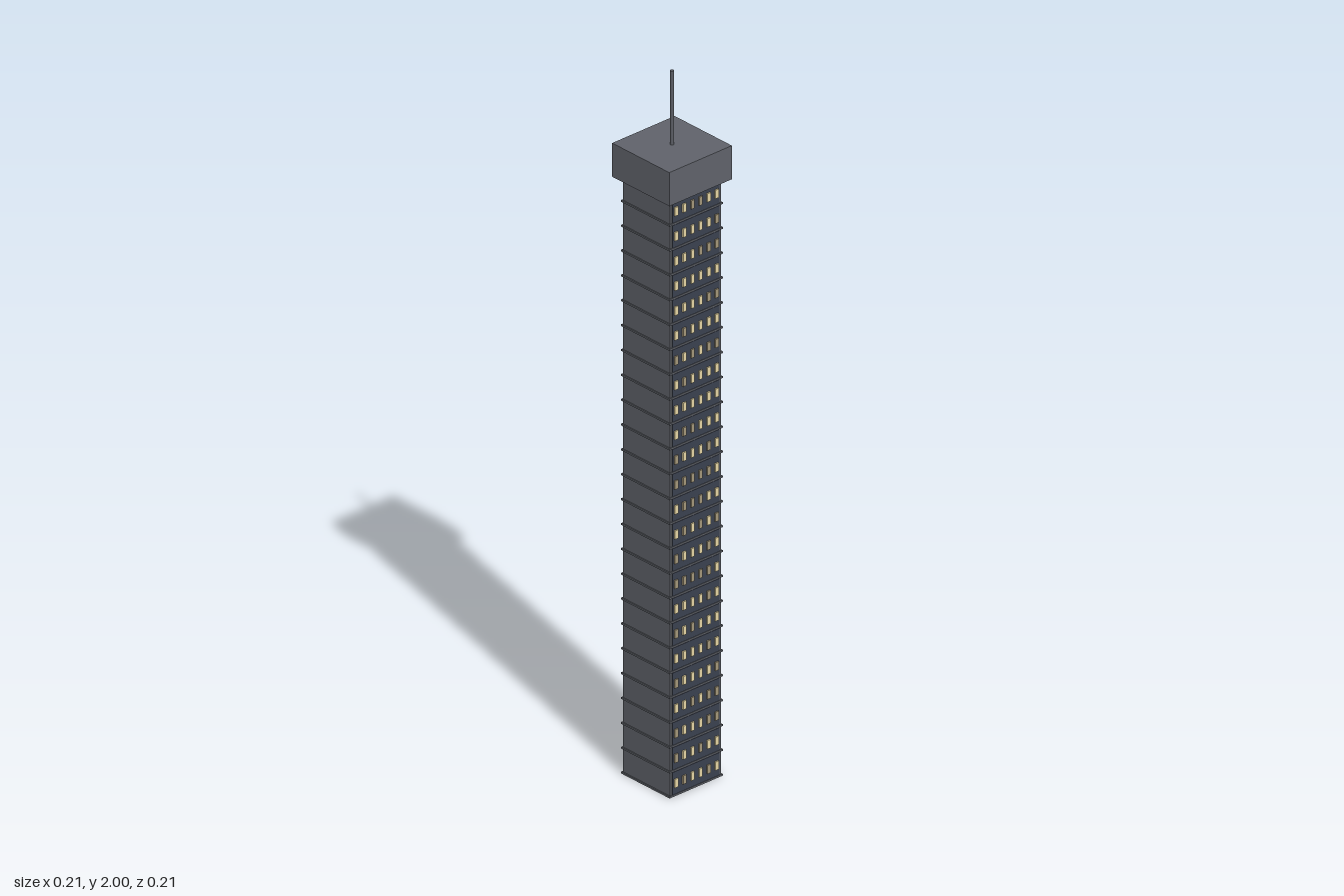
import * as THREE from 'three';
import { mergeGeometries } from 'three/addons/utils/BufferGeometryUtils.js';

const FLOORS = 24, FLOOR_H = 0.0706, COLUMNS = 6, PITCH = 0.0275;
const TOP = FLOORS * FLOOR_H, CAP_TOP = 1.79;

const box = (w, h, d, x, y, z) => new THREE.BoxGeometry(w, h, d).translate(x, y, z);

export function createModel() {
  const tower = new THREE.Group();
  tower.name = 'tower';
  const add = (name, geometry, color) => {
    const mesh = new THREE.Mesh(geometry, new THREE.MeshStandardMaterial({ color }));
    mesh.name = name;
    tower.add(mesh);
  };

  // Seeded variation for which windows are lit
  let seed = 7;
  const random = () => (seed = (seed * 16807) % 2147483647) / 2147483647;

  const slabs = [], panels = [], lit = [], dim = [];
  for (let f = 0; f < FLOORS; f++) {
    const base = f * FLOOR_H, mid = base + FLOOR_H / 2;
    // Thin floor slab wrapping the shaft
    slabs.push(box(0.18, 0.005, 0.18, 0, base + 0.0025, 0));
    for (const side of [1, -1]) {
      // Dark glazing band and its row of windows, front and back
      panels.push(box(0.158, FLOOR_H - 0.007, 0.01, 0, mid + 0.002, side * 0.084));
      for (let c = 0; c < COLUMNS; c++) {
        const x = (c - (COLUMNS - 1) / 2) * PITCH;
        (random() < 0.7 ? lit : dim).push(box(0.011, 0.024, 0.01, x, mid + 0.002, side * 0.088));
      }
    }
  }

  // Shaft and facades
  add('shaft', box(0.174, TOP, 0.174, 0, TOP / 2, 0), 0x5c5f66);
  add('floorSlabs', mergeGeometries(slabs), 0x5c5f66);
  add('glazingBands', mergeGeometries(panels), 0x3a414f);
  add('litWindows', mergeGeometries(lit), 0xe6d6a4);
  add('dimWindows', mergeGeometries(dim), 0xa4977a);

  // Overhanging crown and antenna
  add('crown', box(0.212, CAP_TOP - TOP, 0.212, 0, (TOP + CAP_TOP) / 2, 0), 0x5f626a);
  add('antenna', new THREE.CylinderGeometry(0.005, 0.005, 2 - CAP_TOP, 8)
    .translate(0, (2 + CAP_TOP) / 2, 0), 0x5c5f66);

  return tower;
}
